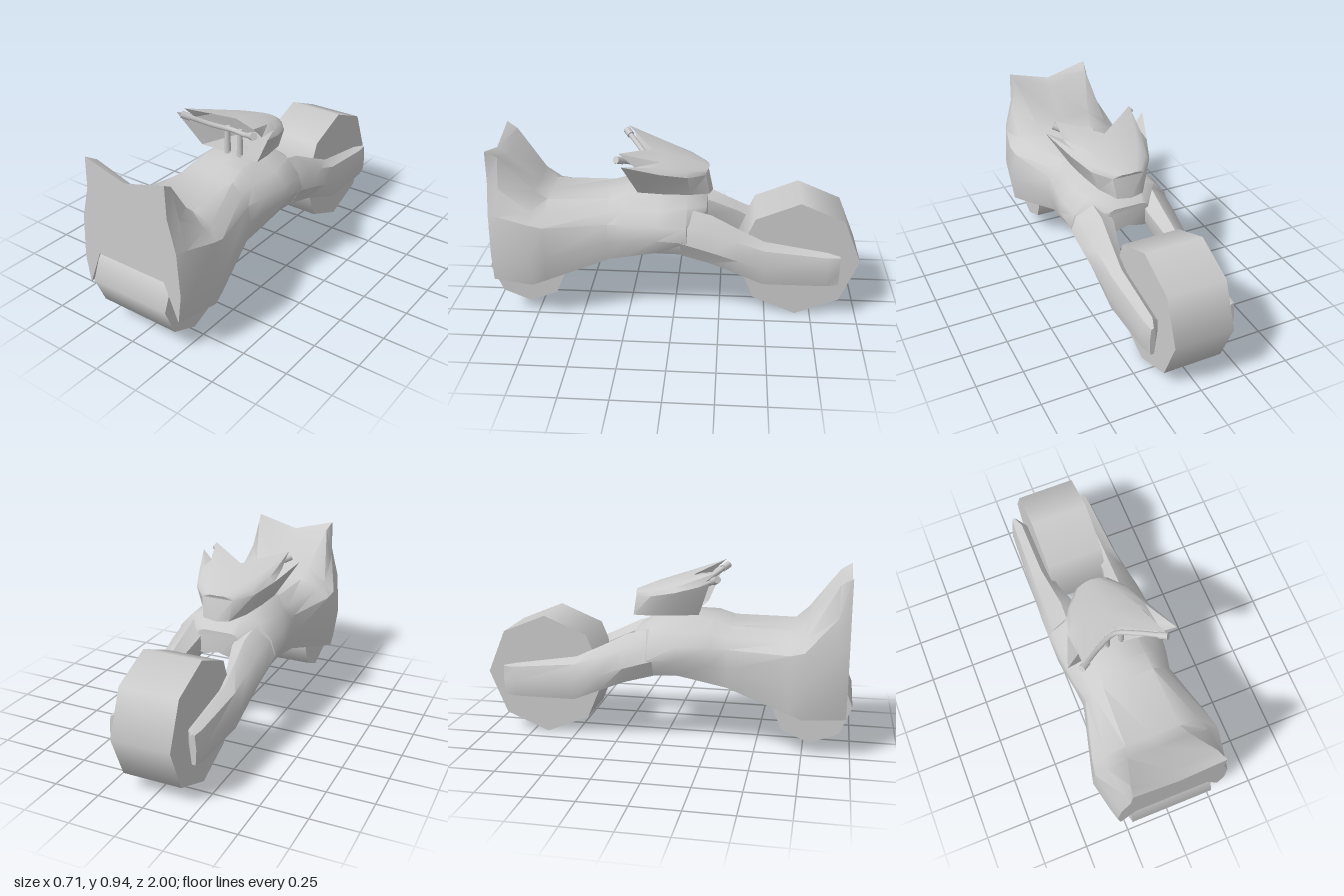
import * as THREE from 'three';
import { toCreasedNormals } from 'three/addons/utils/BufferGeometryUtils.js';

const grey = new THREE.MeshStandardMaterial({ color: 0xcccccc });
const greyThin = new THREE.MeshStandardMaterial({ color: 0xcccccc, side: THREE.DoubleSide });

// Completes a half section (top centre to bottom centre) with its mirror image
const mirrorRing = (half) => [
  ...half,
  ...half.slice(1, -1).reverse().map(([x, y, z]) => [-x, y, z]),
];

// Skins rings running front to back; each ring is clockwise seen from the front
function loft(rings, { capFront = true, capBack = true, crease = 0.75 } = {}) {
  const n = rings[0].length;
  const index = [];
  for (let i = 0; i < rings.length - 1; i++) {
    for (let j = 0; j < n; j++) {
      const a = i * n + j, b = i * n + (j + 1) % n;
      index.push(a, b, a + n, b, b + n, a + n);
    }
  }
  const cap = (i, front) => {
    const outline = rings[i].map(([x, y]) => new THREE.Vector2(x, y)).reverse();
    for (const tri of THREE.ShapeUtils.triangulateShape(outline, [])) {
      const t = tri.map((k) => i * n + n - 1 - k);
      index.push(...(front ? t : t.reverse()));
    }
  };
  if (capFront) cap(0, true);
  if (capBack) cap(rings.length - 1, false);
  const geo = new THREE.BufferGeometry();
  geo.setAttribute('position', new THREE.Float32BufferAttribute(rings.flat(2), 3));
  geo.setIndex(index);
  return toCreasedNormals(geo, crease);
}

// Adds a depth to a flat list of [x, y] points
const at = (z, points) => points.map(([x, y]) => [x, y, z]);

function addMesh(parent, name, geometry, material = grey) {
  const mesh = new THREE.Mesh(geometry, material);
  mesh.name = name;
  parent.add(mesh);
  return mesh;
}

function addWheel(parent, name, radius, width, y, z) {
  const geo = new THREE.CylinderGeometry(radius, radius, width, 8);
  geo.rotateZ(Math.PI / 2);
  addMesh(parent, name, geo).position.set(0, y, z);
}

export function createModel() {
  const model = new THREE.Group();
  model.name = 'lowSlungMotorcycle';

  // Wheels: a wide roller in front, a tall drum behind
  addWheel(model, 'frontWheel', 0.21, 0.46, 0.275, 0.79);
  addWheel(model, 'rearWheel', 0.333, 0.32, 0.333, -0.667);

  // Front shield flaring out over the roller
  const shield = [
    at(0.97, [[0, 0.88], [0.24, 0.945], [0.245, 0.78], [0.29, 0.61], [0.305, 0.38], [0.285, 0.225], [0.205, 0.425], [0, 0.425]]),
    at(0.91, [[0, 0.84], [0.225, 0.91], [0.265, 0.75], [0.305, 0.605], [0.322, 0.38], [0.3, 0.225], [0.22, 0.46], [0, 0.48]]),
    at(0.75, [[0, 0.69], [0.17, 0.71], [0.28, 0.63], [0.34, 0.58], [0.357, 0.38], [0.335, 0.225], [0.25, 0.45], [0, 0.5]]),
  ];
  // Waist narrowing behind the shield, then the hump under the cowl
  const waist = [
    at(0.68, [[0, 0.645], [0.15, 0.65], [0.26, 0.61], [0.33, 0.56], [0.34, 0.38], [0.32, 0.245], [0.25, 0.46], [0, 0.5]]),
    at(0.35, [[0, 0.655], [0.14, 0.655], [0.2, 0.6], [0.24, 0.55], [0.255, 0.45], [0.23, 0.34], [0.17, 0.43], [0, 0.46]]),
    at(0.26, [[0, 0.69], [0.13, 0.685], [0.2, 0.62], [0.26, 0.56], [0.265, 0.47], [0.24, 0.362], [0.17, 0.43], [0, 0.46]]),
    at(0.08, [[0, 0.7], [0.12, 0.69], [0.22, 0.625], [0.28, 0.56], [0.295, 0.49], [0.25, 0.4], [0.17, 0.43], [0, 0.46]]),
    at(-0.07, [[0, 0.67], [0.1, 0.67], [0.2, 0.635], [0.27, 0.56], [0.294, 0.48], [0.25, 0.39], [0.14, 0.41], [0, 0.48]]),
    at(-0.17, [[0, 0.6], [0.08, 0.6], [0.11, 0.59], [0.12, 0.56], [0.12, 0.52], [0.11, 0.47], [0.08, 0.46], [0, 0.48]]),
  ];
  addMesh(model, 'body', loft([...shield, ...waist].map(mirrorRing)));

  // Rear fork arms on both sides of the drum
  const arm = [
    at(-0.04, [[0.1, 0.6], [0.18, 0.635], [0.265, 0.565], [0.294, 0.48], [0.25, 0.39], [0.15, 0.41], [0.1, 0.5]]),
    at(-0.2, [[0.1, 0.55], [0.17, 0.59], [0.255, 0.53], [0.29, 0.43], [0.25, 0.345], [0.15, 0.36], [0.1, 0.47]]),
    at(-0.34, [[0.135, 0.48], [0.18, 0.52], [0.25, 0.475], [0.28, 0.38], [0.25, 0.288], [0.165, 0.29], [0.135, 0.38]]),
    at(-0.48, [[0.145, 0.41], [0.19, 0.455], [0.245, 0.425], [0.272, 0.33], [0.25, 0.23], [0.17, 0.23], [0.145, 0.31]]),
    at(-0.82, [[0.16, 0.37], [0.19, 0.4], [0.235, 0.39], [0.256, 0.31], [0.24, 0.225], [0.17, 0.225], [0.16, 0.3]]),
    at(-0.885, [[0.205, 0.375], [0.215, 0.392], [0.228, 0.388], [0.235, 0.31], [0.23, 0.23], [0.21, 0.23], [0.205, 0.3]]),
  ];
  addMesh(model, 'leftForkArm', loft(arm));
  const mirroredArm = arm.map((ring) => ring.map(([x, y, z]) => [-x, y, z]).reverse());
  addMesh(model, 'rightForkArm', loft(mirroredArm));

  // Hollow cowl, open to the front, with swept corner tips
  const cowl = [
    [[0, 0.892, 0.13], [0.22, 0.945, 0.28], [0.215, 0.87, 0.2], [0.292, 0.9, 0.26], [0.18, 0.715, 0.19], [0, 0.7, 0.16]],
    [[0, 0.875, 0.05], [0.16, 0.88, 0.07], [0.2, 0.86, 0.07], [0.225, 0.835, 0.07], [0.16, 0.7, 0.06], [0, 0.692, 0.06]],
    [[0, 0.843, -0.07], [0.1, 0.84, -0.07], [0.15, 0.825, -0.07], [0.17, 0.8, -0.07], [0.13, 0.687, -0.08], [0, 0.682, -0.08]],
    [[0, 0.805, -0.18], [0.04, 0.804, -0.175], [0.075, 0.8, -0.165], [0.09, 0.785, -0.165], [0.075, 0.675, -0.185], [0, 0.67, -0.2]],
  ];
  addMesh(model, 'cowl', loft(cowl.map(mirrorRing), { capFront: false }), greyThin);

  // Swept handlebar on two short posts
  const barPath = new THREE.CatmullRomCurve3(
    [[-0.22, 0.91, 0.285], [-0.1, 0.855, 0.2], [0, 0.835, 0.155], [0.1, 0.855, 0.2], [0.22, 0.91, 0.285]]
      .map((p) => new THREE.Vector3(...p)));
  addMesh(model, 'handlebar', new THREE.TubeGeometry(barPath, 16, 0.014, 8));
  for (const side of [-1, 1]) {
    const grip = new THREE.CylinderGeometry(0.02, 0.02, 0.05, 8);
    const mesh = addMesh(model, side > 0 ? 'leftGrip' : 'rightGrip', grip);
    mesh.position.set(side * 0.212, 0.906, 0.279);
    mesh.quaternion.setFromUnitVectors(
      new THREE.Vector3(0, 1, 0), new THREE.Vector3(side * 0.12, 0.055, 0.085).normalize());
    const post = new THREE.CylinderGeometry(0.014, 0.018, 0.17, 8);
    addMesh(model, side > 0 ? 'leftPost' : 'rightPost', post).position.set(side * 0.04, 0.76, 0.15);
  }

  return model;
}
